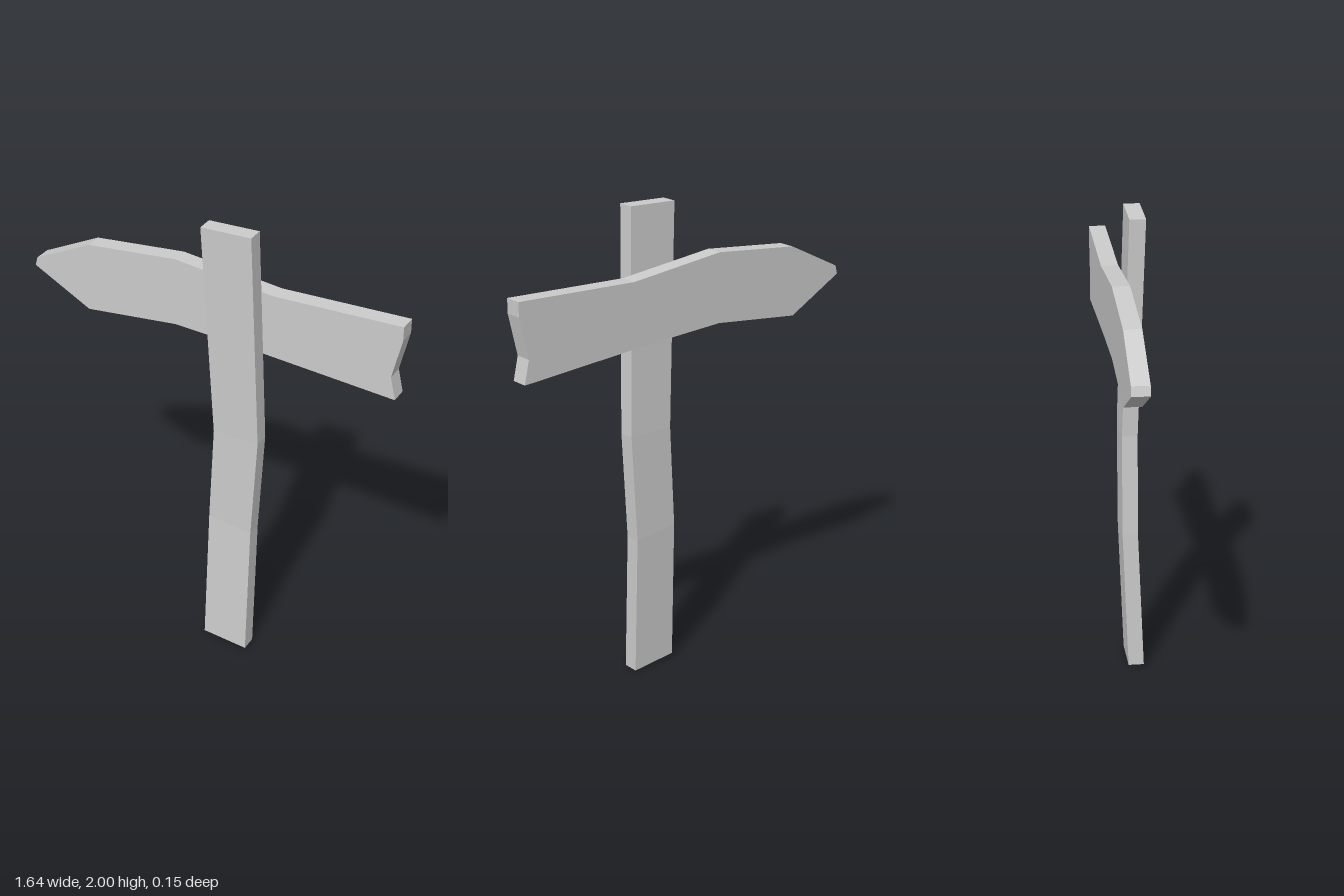
import * as THREE from 'three';

const material = new THREE.MeshStandardMaterial({ color: 0xcccccc, flatShading: true });

// Post: rectangular cross-sections stacked upward, joined by side faces and capped.
// Each row: left x, left y, right x, right y, front z, back z
function buildPost() {
  const rows = [
    [0.023, 0.015, 0.224, 0, 0.076, 0.01],
    [0.031, 0.63, 0.227, 0.61, 0.05, -0.015],
    [0.052, 1.067, 0.253, 1.07, 0.05, -0.015],
    [0.007, 1.99, 0.224, 2, 0.076, 0.01],
  ];
  const positions = [];
  const index = [];
  for (const [lx, ly, rx, ry, front, back] of rows) {
    positions.push(lx, ly, front, rx, ry, front, rx, ry, back, lx, ly, back);
  }
  const quad = (a, b, c, d) => index.push(a, b, c, a, c, d);
  for (let r = 0; r < rows.length - 1; r++) {
    for (let i = 0; i < 4; i++) {
      const a = r * 4 + i;
      const b = r * 4 + ((i + 1) % 4);
      quad(a, b, b + 4, a + 4);
    }
  }
  const top = (rows.length - 1) * 4;
  quad(3, 2, 1, 0);
  quad(top, top + 1, top + 2, top + 3);

  const indexed = new THREE.BufferGeometry();
  indexed.setAttribute('position', new THREE.Float32BufferAttribute(positions, 3));
  indexed.setIndex(index);
  const geometry = indexed.toNonIndexed();
  geometry.computeVertexNormals();
  return geometry;
}

// Board: arrow outline with a blunt tip and a notched tail
function buildBoard() {
  const outline = [
    [-0.82, 1.565], [-0.565, 1.43], [-0.155, 1.479], [0.19, 1.466],
    [0.804, 1.43], [0.782, 1.525], [0.82, 1.695], [0.82, 1.754],
    [0.28, 1.73], [-0.155, 1.772], [-0.555, 1.728], [-0.81, 1.602],
  ];
  const shape = new THREE.Shape(outline.map(([x, y]) => new THREE.Vector2(x, y)));
  const geometry = new THREE.ExtrudeGeometry(shape, { depth: 0.071, bevelEnabled: false });
  geometry.translate(0, 0, -0.076);
  return geometry;
}

export function createModel() {
  const group = new THREE.Group();
  group.name = 'signpost';
  const parts = { post: buildPost(), arrowBoard: buildBoard() };
  for (const [name, geometry] of Object.entries(parts)) {
    const mesh = new THREE.Mesh(geometry, material);
    mesh.name = name;
    group.add(mesh);
  }
  return group;
}
